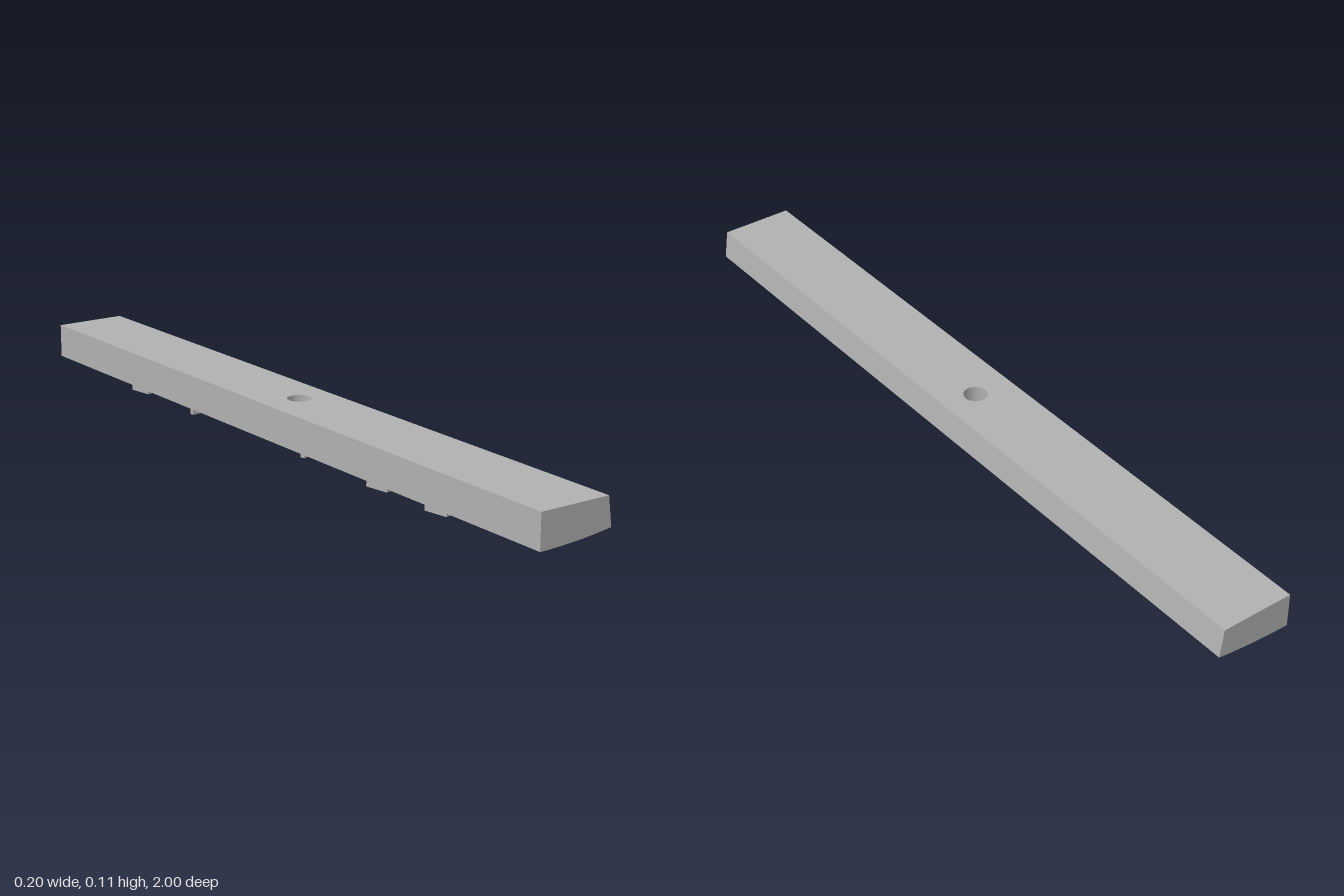
import * as THREE from 'three';

const HALF = 0.1, TOP = 0.115, HOLE = 0.03, MID = 0.05, SLICES = 10;

// height of the gently curved underside
const underside = (x) => 0.031 + 0.075 * x + 0.35 * x * x;
const xAt = (i) => -HALF + (2 * HALF * i) / SLICES;

export function createModel() {
  const group = new THREE.Group();
  group.name = 'stampBar';
  const grey = new THREE.MeshStandardMaterial({ color: 0xb0b0b0 });
  grey.name = 'plain grey';

  const add = (geometry, name) => {
    const mesh = new THREE.Mesh(geometry, grey);
    mesh.name = name;
    group.add(mesh);
  };

  // long solid halves of the bar, extruded along z
  const profile = new THREE.Shape();
  profile.moveTo(-HALF, TOP);
  for (let i = 0; i <= SLICES; i++) profile.lineTo(xAt(i), underside(xAt(i)));
  profile.lineTo(0.09, TOP);
  profile.closePath();
  for (const [name, start] of [['frontHalf', MID], ['backHalf', -1]]) {
    const half = new THREE.ExtrudeGeometry(profile, { depth: 1 - MID, bevelEnabled: false });
    half.translate(0, 0, start);
    add(half, name);
  }

  // short middle block with a round hole through it
  const plan = new THREE.Shape();
  plan.moveTo(-HALF, -MID);
  for (let i = 1; i <= SLICES; i++) plan.lineTo(xAt(i), -MID);
  for (let i = SLICES; i >= 0; i--) plan.lineTo(xAt(i), MID);
  plan.closePath();
  const hole = new THREE.Path();
  hole.absarc(0, 0, HOLE, 0, Math.PI * 2, true);
  plan.holes.push(hole);
  const middle = new THREE.ExtrudeGeometry(plan, { depth: 1, bevelEnabled: false, curveSegments: 24 });
  middle.rotateX(-Math.PI / 2);
  const p = middle.attributes.position;
  for (let i = 0; i < p.count; i++) {
    const x = p.getX(i);
    if (p.getY(i) < 0.5) p.setY(i, underside(x));
    else {
      p.setY(i, TOP);
      if (x > 0.08) p.setX(i, 0.09 - (HALF - x) * 0.5);
    }
  }
  middle.computeVertexNormals();
  add(middle, 'middleWithHole');

  // raised ridges under the bar, following its curve
  const ridge = (name, x1, z1, x2, z2, width = 0.012) => {
    const length = Math.hypot(x2 - x1, z2 - z1);
    const g = new THREE.BoxGeometry(width, 0.0292, length);
    g.rotateY(Math.atan2(x2 - x1, z2 - z1));
    g.translate((x1 + x2) / 2, -0.0126, (z1 + z2) / 2);
    const q = g.attributes.position;
    for (let i = 0; i < q.count; i++) q.setY(i, Math.max(0, q.getY(i) + underside(q.getX(i))));
    g.computeVertexNormals();
    add(g, name);
  };

  // small mark near the front end
  ridge('frontMarkBar', -0.02, 0.805, -0.02, 0.84);
  ridge('frontMarkStem', -0.045, 0.815, -0.005, 0.815);

  // three wide marks made of parallel bars
  for (const z of [0.605, 0.39, -0.645]) {
    ridge('upperBar', 0.016, z - 0.05, 0.016, z + 0.05);
    ridge('upperBarEnd', 0.005, z - 0.046, 0.023, z - 0.046, 0.01);
    ridge('lowerBar', -0.03, z - 0.045, -0.03, z + 0.035);
    ridge('bottomBar', -0.068, z - 0.02, -0.058, z + 0.045, 0.014);
    ridge('sideBar', -0.03, z - 0.04, -0.068, z - 0.015);
  }

  // bracket mark beside the hole
  ridge('bracketBar', 0, 0.08, 0, 0.19);
  ridge('bracketLongLeg', 0.004, 0.088, -0.065, 0.105);
  ridge('bracketShortLeg', 0.004, 0.184, -0.035, 0.184);

  // paired ticks
  for (const z of [0.055, 0.035, -0.945, -0.965]) {
    ridge('tick', z > 0 ? -0.025 : -0.005, z, z > 0 ? 0 : 0.02, z, 0.008);
  }

  // single dash
  ridge('dash', -0.02, -0.08, -0.02, -0.2, 0.014);
  ridge('dashEnd', -0.035, -0.085, -0.01, -0.085, 0.01);

  // slanted bar with a stem
  ridge('slantedBar', 0.014, -0.342, -0.032, -0.408);
  ridge('slantedBarStem', -0.005, -0.37, -0.075, -0.37);

  return group;
}
